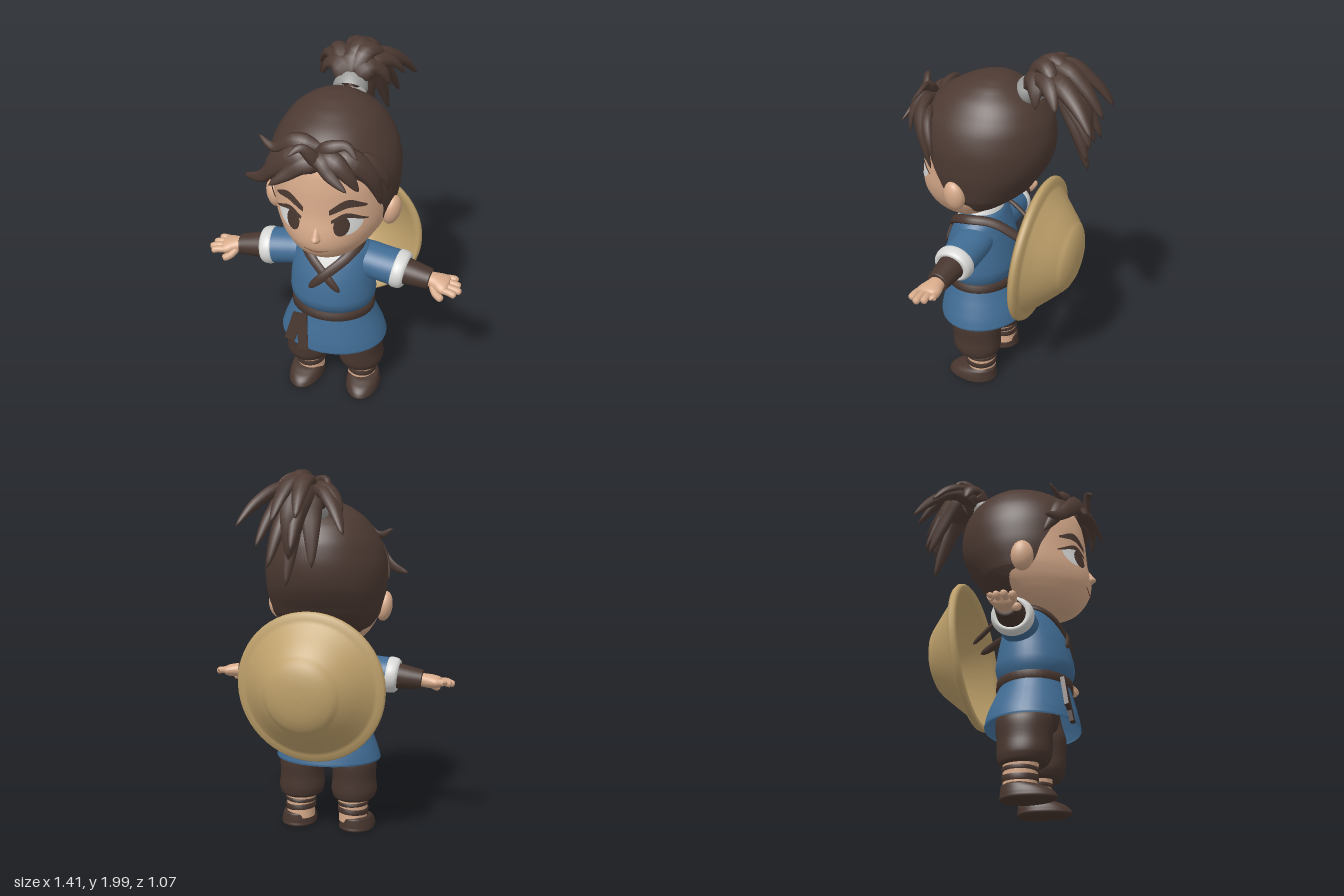
import * as THREE from 'three';
import { mergeVertices } from 'three/addons/utils/BufferGeometryUtils.js';

const V = (p) => new THREE.Vector3(...p);
const mat = (name, color) => {
  const m = new THREE.MeshStandardMaterial({ color, side: THREE.DoubleSide });
  m.name = name;
  return m;
};

// Catmull-Rom smoothing of a list of rings
function smooth(rings, steps = 4) {
  const out = [], last = rings.length - 1;
  for (let i = 0; i < last; i++) {
    const [a, b, c, d] = [rings[Math.max(i - 1, 0)], rings[i], rings[i + 1], rings[Math.min(i + 2, last)]];
    for (let s = 0; s < steps; s++) {
      const t = s / steps;
      out.push(b.map((q, k) => k === 0 ? q + (c[0] - q) * t
        : q + 0.5 * t * (c[k] - a[k] + t * (2 * a[k] - 5 * q + 4 * c[k] - d[k] + t * (3 * (q - c[k]) + d[k] - a[k])))));
    }
  }
  out.push(rings[last]);
  return out;
}

// Rings, bottom to top: [y, half width, centre z, front z, back z, front opening angle]
function loft(rings, n = 40) {
  const pos = [], idx = [];
  rings.forEach(([y, rx, zc, zf, zb, gap = 0], i) => {
    const g = Math.max(gap, 0);
    for (let j = 0; j <= n; j++) {
      const a = g + (2 * Math.PI - 2 * g) * j / n, c = Math.cos(a);
      pos.push(rx * Math.sin(a), y, zc + c * (c > 0 ? zf - zc : zc - zb));
      if (i && j) {
        const q = i * (n + 1) + j, p = q - n - 1;
        idx.push(p - 1, p, q - 1, p, q, q - 1);
      }
    }
  });
  const g = new THREE.BufferGeometry();
  g.setAttribute('position', new THREE.Float32BufferAttribute(pos, 3));
  g.setIndex(idx);
  return finish(g);
}

function finish(g) {
  g.deleteAttribute('normal');
  g.deleteAttribute('uv');
  const m = mergeVertices(g, 1e-5);
  m.computeVertexNormals();
  return m;
}

// Simple oval rings: [y, half width, half depth, centre z]
const oval = (list) => list.map(([y, rx, rz, z = 0]) => [y, rx, z, z + rz, z - rz]);

// Strand along a curve, its radius following a profile, flattened toward a centre
const pointed = (u) => Math.min(1, 0.5 + 2.2 * u) * Math.pow(1 - u, 0.6);
const round = (u) => Math.sqrt(Math.max(0, 1 - (2 * u - 1) ** 8));
function strand(points, r, profile, thin = 1, from = [0, 0, 0], seg = 18, rad = 8) {
  const curve = new THREE.CatmullRomCurve3(points.map(V));
  const g = new THREE.TubeGeometry(curve, seg, 1, rad), p = g.attributes.position;
  const v = new THREE.Vector3(), c = V(from);
  for (let k = 0; k < p.count; k++) {
    const u = Math.floor(k / (rad + 1)) / seg, P = curve.getPointAt(u);
    const n = P.clone().sub(c).normalize();
    v.fromBufferAttribute(p, k).sub(P);
    v.addScaledVector(n, v.dot(n) * (thin - 1)).multiplyScalar(r * profile(u)).add(P);
    p.setXYZ(k, v.x, v.y, v.z);
  }
  return finish(g);
}

// Thin painted patch laid on the front of a loft; fn maps u, v to x, y
function decal(rings, fn, lift) {
  const g = new THREE.PlaneGeometry(1, 1, 20, 6), p = g.attributes.position;
  for (let k = 0; k < p.count; k++) {
    const [x, y] = fn(p.getX(k) + 0.5, p.getY(k) + 0.5);
    let i = 1;
    while (i < rings.length - 1 && rings[i][0] < y) i++;
    const a = rings[i - 1], b = rings[i], t = (y - a[0]) / (b[0] - a[0]);
    const [rx, zc, zf] = [1, 2, 3].map((q) => a[q] + (b[q] - a[q]) * t);
    p.setXYZ(k, x, y, zc + (zf - zc) * Math.sqrt(Math.max(0, 1 - (x / rx) ** 2)) + lift);
  }
  return finish(g);
}
const ellipse = (cx, cy, rx, ry) => (u, v) =>
  [cx + rx * v * Math.cos(2 * Math.PI * u), cy + ry * v * Math.sin(2 * Math.PI * u)];
function stroke(a, b, c, width) {
  const curve = new THREE.CatmullRomCurve3([a, b, c].map(([x, y]) => V([x, y, 0])));
  return (u, v) => {
    const p = curve.getPoint(u);
    return [p.x, p.y + (v - 0.5) * width * (0.25 + 0.75 * Math.sin(Math.PI * Math.min(1, u * 0.85 + 0.15)))];
  };
}

export function createModel() {
  const model = new THREE.Group();
  const hair = mat('dark brown hair', 0x4d3a33), cloth = mat('brown cloth', 0x48362f);
  const skin = mat('skin', 0xd8ab8b), blue = mat('blue cloth', 0x406c94);
  const white = mat('white cloth', 0xd8d8d6), grey = mat('grey tie', 0x979795);
  const straw = mat('straw', 0xbfa16b), lip = mat('lip line', 0x8c5c48);
  const add = (name, geo, m, parent = model) => {
    const mesh = new THREE.Mesh(geo, m);
    mesh.name = name;
    parent.add(mesh);
    return mesh;
  };

  // Head
  const face = smooth([
    [1.045, 0, 0.27, 0.27, 0.27], [1.052, 0.1, 0.25, 0.36, 0.15], [1.08, 0.17, 0.2, 0.41, 0.08],
    [1.12, 0.218, 0.16, 0.445, 0.04], [1.18, 0.262, 0.13, 0.472, -0.03], [1.25, 0.292, 0.12, 0.474, -0.1],
    [1.34, 0.31, 0.11, 0.458, -0.17], [1.42, 0.318, 0.1, 0.453, -0.21], [1.5, 0.318, 0.1, 0.447, -0.23],
    [1.6, 0.296, 0.1, 0.425, -0.22], [1.7, 0.23, 0.09, 0.355, -0.16], [1.78, 0.02, 0.08, 0.1, 0.06]]);
  add('head', loft(face, 56), skin);
  add('nose', loft(smooth([[1.195, 0.004, 0.45, 0.465, 0.44], [1.215, 0.024, 0.45, 0.488, 0.44], [1.232, 0.028, 0.45, 0.506, 0.44],
    [1.25, 0.024, 0.45, 0.494, 0.44], [1.275, 0.018, 0.45, 0.478, 0.43], [1.3, 0.01, 0.44, 0.463, 0.43]]), 20), skin);
  add('mouth', decal(face, stroke([-0.065, 1.165], [0, 1.15], [0.065, 1.165], 0.009), 0.005), lip);
  for (const s of [1, -1]) {
    add('ear', new THREE.SphereGeometry(1, 24, 18).scale(0.045, 0.083, 0.06).rotateZ(-s * 0.15).rotateY(-s * 0.3)
      .translate(s * 0.31, 1.268, 0.17), skin);
    add('eyeWhite', decal(face, (u, v) => {
      const arch = Math.pow(Math.sin(Math.PI * u), 0.6);
      return [s * (0.09 + 0.125 * u), 1.318 + arch * (v * 0.098 - 0.062)];
    }, 0.004), white);
    add('iris', decal(face, ellipse(s * 0.122, 1.306, 0.037, 0.052), 0.007), cloth);
    add('eyelash', decal(face, stroke([s * 0.075, 1.335], [s * 0.145, 1.364], [s * 0.235, 1.322], 0.028), 0.009), hair);
    add('eyebrow', decal(face, stroke([s * 0.065, 1.385], [s * 0.15, 1.428], [s * 0.228, 1.402], 0.046), 0.008), hair);
  }

  // Hair cap, open around the face, with sideburns
  add('hairCap', loft(smooth([
    [1.13, 0.2, 0.1, 0.33, 0.03, 1.78], [1.165, 0.254, 0.1, 0.38, -0.038, 1.68], [1.205, 0.282, 0.1, 0.41, -0.095, 1.55],
    [1.235, 0.3, 0.1, 0.425, -0.13, 1.2], [1.34, 0.326, 0.1, 0.455, -0.2, 1.08], [1.42, 0.334, 0.1, 0.462, -0.235, 0.95],
    [1.5, 0.334, 0.1, 0.46, -0.247, 0.8], [1.57, 0.32, 0.1, 0.447, -0.242, 0.5], [1.63, 0.297, 0.09, 0.43, -0.228, 0],
    [1.7, 0.255, 0.08, 0.385, -0.19, 0], [1.75, 0.213, 0.08, 0.325, -0.14, 0], [1.8, 0.148, 0.07, 0.235, -0.065, 0],
    [1.83, 0.085, 0.07, 0.155, -0.01, 0], [1.842, 0, 0.07, 0.07, 0.07, 0]]), 56), hair);

  // Fringe
  [
    [0.072, [0.03, 1.64, 0.41], [-0.1, 1.66, 0.44], [-0.21, 1.58, 0.42], [-0.31, 1.48, 0.37], [-0.42, 1.44, 0.31]],
    [0.065, [0.03, 1.64, 0.42], [-0.06, 1.64, 0.46], [-0.14, 1.58, 0.48], [-0.22, 1.52, 0.5]],
    [0.055, [0, 1.69, 0.38], [-0.13, 1.71, 0.38], [-0.24, 1.65, 0.36], [-0.32, 1.69, 0.33]],
    [0.07, [-0.13, 1.65, 0.38], [-0.23, 1.58, 0.37], [-0.28, 1.49, 0.34], [-0.31, 1.4, 0.29]],
    [0.045, [0.03, 1.62, 0.43], [-0.01, 1.69, 0.47], [-0.06, 1.74, 0.49], [-0.11, 1.71, 0.53]],
    [0.065, [0, 1.65, 0.42], [0.09, 1.67, 0.46], [0.16, 1.61, 0.47], [0.21, 1.53, 0.46]],
    [0.075, [0.04, 1.66, 0.4], [0.16, 1.66, 0.41], [0.24, 1.58, 0.38], [0.275, 1.47, 0.34], [0.285, 1.38, 0.31]],
    [0.045, [0, 1.68, 0.41], [0.07, 1.73, 0.43], [0.14, 1.74, 0.42], [0.2, 1.69, 0.45]],
    [0.05, [-0.03, 1.66, 0.43], [0.03, 1.67, 0.47], [0.08, 1.62, 0.5], [0.17, 1.56, 0.53]],
    [0.06, [0.14, 1.65, 0.38], [0.24, 1.62, 0.35], [0.3, 1.54, 0.31], [0.315, 1.45, 0.28]],
  ].forEach(([r, ...pts]) => add('fringeLock', strand(pts, r, pointed, 0.5, [0, 1.45, 0.1]), hair));

  // Topknot: tie, full middle and fanned locks
  const tie = add('hairTie', loft(oval([[-0.04, 0.084, 0.068], [-0.025, 0.09, 0.073], [0.022, 0.082, 0.07], [0.035, 0.07, 0.06]])), grey);
  tie.position.set(0.015, 1.79, -0.135);
  tie.quaternion.setFromUnitVectors(V([0, 1, 0]), V([0, 0.61, -0.79]).normalize());
  add('topknotCore', strand([[0.015, 1.79, -0.14], [0.02, 1.875, -0.24], [0.03, 1.78, -0.37], [0.04, 1.54, -0.44]], 0.12, pointed), hair);
  const root = V([0.015, 1.79, -0.14]);
  [
    [0.28, 1.7, -0.53, 1.88], [0.1, 1.72, -0.53, 1.93], [-0.03, 1.74, -0.54, 1.93], [-0.25, 1.66, -0.48, 1.87],
    [0.05, 1.41, -0.45, 1.87], [-0.08, 1.5, -0.44, 1.86], [0.14, 1.5, -0.47, 1.86], [0.01, 1.58, -0.5, 1.91],
    [0.25, 1.78, -0.34, 1.89], [-0.22, 1.77, -0.38, 1.89], [-0.16, 1.79, -0.2, 1.88], [0.2, 1.76, -0.22, 1.88],
    [0.16, 1.85, -0.3, 1.94], [-0.13, 1.9, -0.28, 1.9], [0.06, 1.86, -0.36, 1.955], [0.19, 1.6, -0.5, 1.87],
  ].forEach(([x, y, z, peak]) => {
    const tip = V([x, y, z]), mid = root.clone().lerp(tip, 0.42).setY(peak), low = mid.clone().lerp(tip, 0.55);
    low.y += 0.035;
    add('topknotLock', strand([root, mid, low, tip].map((p) => p.toArray()), 0.08, pointed, 0.6, [0, 1.72, -0.25]), hair);
  });

  // Neck, tunic and collar
  add('neck', new THREE.CylinderGeometry(0.085, 0.09, 0.16, 32).translate(0, 1.04, 0.15), skin);
  const body = smooth([
    [0.64, 0.21, 0.16, 0.33, -0.02], [0.69, 0.23, 0.16, 0.358, -0.04], [0.74, 0.235, 0.16, 0.366, -0.05],
    [0.86, 0.225, 0.16, 0.343, -0.03], [0.94, 0.214, 0.155, 0.312, -0.01], [1.0, 0.196, 0.15, 0.28, 0.01],
    [1.045, 0.145, 0.15, 0.25, 0.025], [1.07, 0.1, 0.15, 0.235, 0.04]]);
  add('tunicTop', loft(body), blue);
  add('tunicSkirt', loft(smooth([
    [0.405, 0.298, 0.15, 0.387, -0.105], [0.42, 0.297, 0.15, 0.387, -0.105], [0.5, 0.27, 0.155, 0.372, -0.083],
    [0.6, 0.23, 0.16, 0.348, -0.04], [0.66, 0.212, 0.16, 0.335, -0.02]])), blue);
  add('collar', loft(oval([[1.04, 0.13, 0.115, 0.15], [1.075, 0.115, 0.11, 0.148], [1.09, 0.105, 0.1, 0.146], [1.07, 0.09, 0.09, 0.15]])), white);
  const vee = (half, top, bottom) => (u, v) => [(u - 0.5) * 2 * half * v, bottom + (top - bottom) * v];
  add('undershirt', decal(body, vee(0.115, 1.055, 0.92), 0.005), white);
  add('neckOpening', decal(body, vee(0.045, 1.065, 1.005), 0.009), skin);

  // Crossed straps running over the shoulders to the hat
  for (const s of [1, -1]) {
    add('shoulderStrap', strand([[-0.085, 0.815, 0.348], [0, 0.905, 0.335 + s * 0.003], [0.11, 1.0, 0.268],
      [0.155, 1.04, 0.17], [0.125, 1.03, 0.035], [0.07, 0.9, -0.17]].map(([x, y, z]) => [s * x, y, z]),
    0.027, round, 0.45, [0, 0.85, 0.14], 40), cloth);
  }

  // Belt and hanging ends
  add('belt', loft([[0.61, 0.212, 0.16, 0.335, -0.025], [0.614, 0.231, 0.16, 0.356, -0.047],
    [0.656, 0.229, 0.16, 0.354, -0.045], [0.662, 0.208, 0.16, 0.335, -0.02]]), cloth);
  [[-0.172, 0.53, 0.17, -0.26], [-0.122, 0.505, 0.22, 0.08]].forEach(([x, y, h, roll]) => {
    const end = add('beltEnd', new THREE.BoxGeometry(0.058, h, 0.022), cloth);
    end.position.set(x, y, 0.352);
    end.rotation.set(-0.17, 0, roll);
  });

  // Seat of the trousers
  add('trouserSeat', loft(smooth(oval([[0.37, 0, 0, 0.135], [0.385, 0.08, 0.09, 0.135], [0.43, 0.18, 0.13, 0.135],
    [0.5, 0.2, 0.14, 0.14], [0.58, 0.17, 0.13, 0.15]]))), cloth);

  for (const s of [1, -1]) {
    // Arm, built along its own y axis
    const arm = new THREE.Group();
    arm.name = s > 0 ? 'leftArm' : 'rightArm';
    arm.position.set(s * 0.16, 0.918, s > 0 ? 0.135 : 0.12);
    arm.quaternion.setFromUnitVectors(V([0, 1, 0]), V([s, -0.125, s > 0 ? 0.105 : 0.06]).normalize());
    model.add(arm);
    add('sleeve', loft(smooth(oval([[-0.06, 0.08, 0.1], [0.03, 0.092, 0.105], [0.1, 0.092, 0.104], [0.19, 0.094, 0.104]]))), blue, arm);
    add('cuff', loft(smooth(oval([[0.175, 0.08, 0.09], [0.183, 0.096, 0.106], [0.205, 0.1, 0.111],
      [0.235, 0.094, 0.105], [0.248, 0.08, 0.09], [0.24, 0.05, 0.055]]))), white, arm);
    add('bracer', loft(smooth(oval([[0.22, 0.072, 0.076], [0.28, 0.066, 0.07], [0.365, 0.056, 0.06], [0.378, 0.05, 0.054], [0.374, 0, 0]]))), cloth, arm);
    add('palm', loft(smooth(oval([[0.36, 0.036, 0.04], [0.4, 0.038, 0.05], [0.44, 0.037, 0.065, 0.004],
      [0.475, 0.029, 0.062, 0.004], [0.49, 0, 0, 0.004]]))), skin, arm);
    [0.505, 0.54, 0.555, 0.535].forEach((tip, i) => {
      const z = -0.046 + i * 0.033;
      add('finger', strand([[0, 0.45, z], [-s * 0.006, 0.5, z * 1.1], [0, tip, z * 1.2]], 0.019, round), skin, arm);
    });
    add('thumb', strand([[s * 0.005, 0.395, 0.03], [s * 0.028, 0.43, 0.065], [s * 0.042, 0.475, 0.08]], 0.021, round), skin, arm);

    // Leg
    const leg = new THREE.Group();
    leg.name = s > 0 ? 'leftLeg' : 'rightLeg';
    leg.position.x = s * 0.155;
    model.add(leg);
    add('trouser', loft(smooth(oval([[0.19, 0.075, 0.08, 0.12], [0.176, 0.1, 0.105, 0.125], [0.19, 0.118, 0.125, 0.128],
      [0.23, 0.129, 0.138, 0.133], [0.3, 0.122, 0.14, 0.135], [0.4, 0.122, 0.146, 0.135], [0.46, 0.085, 0.125, 0.14],
      [0.55, 0.045, 0.1, 0.15]]))), cloth, leg);
    add('ankle', loft(oval([[0.05, 0.08, 0.085, 0.11], [0.12, 0.08, 0.084, 0.11], [0.2, 0.088, 0.09, 0.115]])), skin, leg);
    [[0.155, 0.02, 0.04], [0.115, 0.03, -0.06]].forEach(([y, h, tilt]) => {
      const wrap = add('ankleWrap', loft(oval([[-h / 2, 0.078, 0.08], [-h / 2, 0.086, 0.09], [h / 2, 0.088, 0.092], [h / 2, 0.078, 0.08]])), cloth, leg);
      wrap.position.set(0, y, 0.111);
      wrap.rotation.z = s * tilt;
    });
    const shoe = add('shoe', loft(smooth([[0, 0, 0.13, 0.13, 0.13], [0.001, 0.09, 0.13, 0.285, 0.022], [0.025, 0.098, 0.13, 0.295, 0.016],
      [0.055, 0.092, 0.13, 0.265, 0.017], [0.075, 0.084, 0.12, 0.215, 0.02], [0.083, 0.07, 0.11, 0.18, 0.035]])), cloth, leg);
    shoe.position.x = s * 0.01;
    shoe.rotation.y = s * 0.05;
  }

  // Straw hat carried on the back
  const hat = add('strawHat', new THREE.LatheGeometry([
    [0, 0.21], [0.16, 0.18], [0.36, 0.015], [0.392, -0.012], [0.407, 0], [0.41, 0.016], [0.4, 0.032], [0.37, 0.037],
    [0.35, 0.046], [0.28, 0.116], [0.214, 0.18], [0.205, 0.178], [0.198, 0.195], [0.17, 0.216], [0.12, 0.236], [0.06, 0.245], [0, 0.247],
  ].map(([r, h]) => new THREE.Vector2(r, h)), 56), straw);
  hat.position.set(0.008, 0.857, -0.17);
  hat.quaternion.setFromUnitVectors(V([0, 1, 0]), V([0, -0.068, -0.998]).normalize());
  return model;
}
